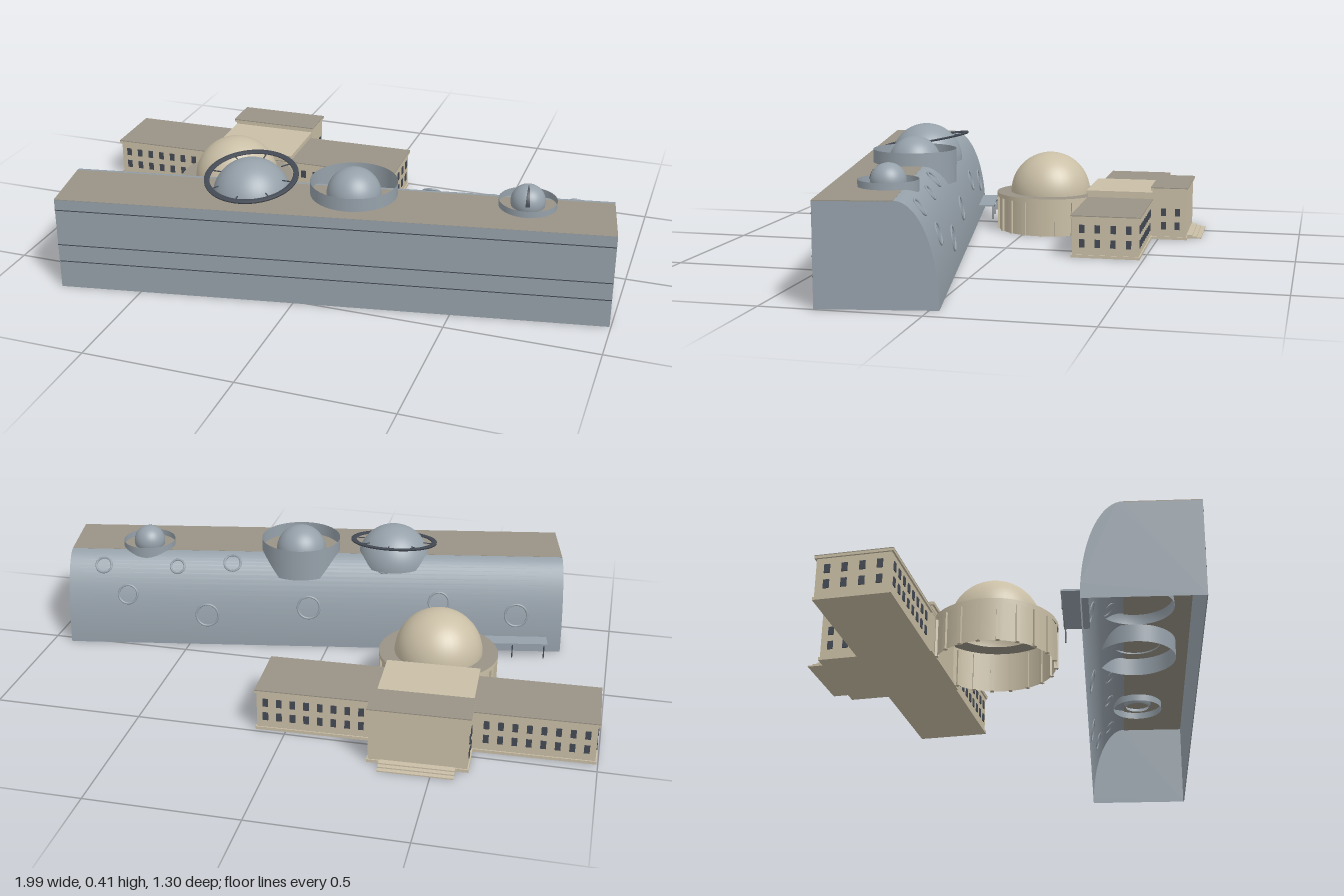
import * as THREE from 'three';

const mat = (name, color, side = THREE.DoubleSide) => {
  const m = new THREE.MeshStandardMaterial({ color, side });
  m.name = name;
  return m;
};

export function createModel() {
  const steel = mat('blueGrey', 0x96a1aa);
  const roofing = mat('taupeRoof', 0x999386);
  const stone = mat('beigeStone', 0xcabfa6);
  const dark = mat('darkGlass', 0x444a54);

  const model = new THREE.Group();
  model.name = 'observatoryComplex';

  const add = (parent, name, geo, material, x = 0, y = 0, z = 0) => {
    const m = new THREE.Mesh(geo, material);
    m.name = name;
    m.position.set(x, y, z);
    parent.add(m);
    return m;
  };
  const box = (parent, name, material, w, h, d, x, y, z) =>
    add(parent, name, new THREE.BoxGeometry(w, h, d), material, x, y, z);
  // Spherical cap of radius r, cut off below height yMin
  const cap = (parent, name, material, r, x, cy, z, yMin) =>
    add(parent, name, new THREE.SphereGeometry(r, 40, 20, 0, Math.PI * 2, 0,
      Math.acos(Math.max(-1, (yMin - cy) / r))), material, x, cy, z);
  const wall = (parent, name, material, r, y0, y1, x, z, sides = 48) =>
    add(parent, name, new THREE.CylinderGeometry(r, r, y1 - y0, sides, 1, true), material, x, (y0 + y1) / 2, z);

  // ---- Long hall: flat front, curved back, open underneath ----
  const L = 1.79, H = 0.318, D = 0.365, curveZ = -0.0525, curveD = 0.13;
  const hall = new THREE.Group();
  hall.name = 'longHall';
  hall.position.set(0.0825, 0, 0.31);
  hall.rotation.y = 0.18;
  model.add(hall);

  const backPoint = (a) => [curveZ - curveD * Math.sin(a), H * Math.cos(a)];
  box(hall, 'frontWall', steel, L, H, 0.003, 0, H / 2, D / 2 - 0.0015);

  const back = new THREE.PlaneGeometry(L, 1, 1, 20);
  const p = back.attributes.position;
  for (let i = 0; i < p.count; i++) {
    const [z, y] = backPoint((p.getY(i) + 0.5) * Math.PI / 2);
    p.setXYZ(i, p.getX(i), y, z);
  }
  back.computeVertexNormals();
  add(hall, 'curvedBackWall', back, steel);

  const roofDepth = D / 2 - curveZ;
  box(hall, 'hallRoof', roofing, L, 0.003, roofDepth, 0, H - 0.001, curveZ + roofDepth / 2);

  // End walls with the curved outline
  const outline = [[D / 2, 0], [D / 2, H]];
  for (let i = 0; i <= 20; i++) outline.push(backPoint(i / 20 * Math.PI / 2));
  const endShape = new THREE.Shape(outline.map(([z, y]) => new THREE.Vector2(z, y)));
  for (const s of [-1, 1]) {
    const end = add(hall, 'endWall', new THREE.ShapeGeometry(endShape), steel, s * L / 2);
    end.rotation.y = -Math.PI / 2;
    if (s > 0) end.geometry.scale(1, 1, -1);
  }
  // Fine joint lines on the front
  for (const y of [0.095, 0.155, 0.28])
    box(hall, 'frontJoint', dark, L, 0.003, 0.002, 0, y, D / 2);

  // Craters on the curved wall: position along, height fraction, radius
  for (const [x, h, r] of [[0.77, 0.88, 0.028], [0.68, 0.58, 0.034], [0.5, 0.88, 0.025], [0.39, 0.36, 0.04],
    [0.3, 0.92, 0.03], [0.02, 0.47, 0.04], [-0.25, 0.92, 0.028], [-0.45, 0.56, 0.036], [-0.73, 0.43, 0.04]]) {
    const a = Math.acos(h);
    const [z, y] = backPoint(a);
    const n = new THREE.Vector3(0, Math.cos(a) / H, -Math.sin(a) / curveD).normalize();
    const crater = add(hall, 'crater', new THREE.TorusGeometry(r, 0.004, 6, 28), steel, x, y, z);
    crater.quaternion.setFromUnitVectors(new THREE.Vector3(0, 0, 1), n);
  }

  // Entrance canopy at the back
  box(hall, 'canopy', steel, 0.25, 0.006, 0.08, -0.717, 0.055, -0.2);
  for (const x of [-0.83, -0.717, -0.605])
    box(hall, 'canopyPost', dark, 0.004, 0.054, 0.004, x, 0.027, -0.235);

  // ---- Roof domes ----
  cap(model, 'ringedDome', steel, 0.13, -0.2, 0.283, 0.35, 0.28);
  const ring = new THREE.Group();
  ring.name = 'planetRing';
  ring.position.set(-0.2, 0.355, 0.35);
  ring.rotation.x = 0.17;
  model.add(ring);
  const ringProfile = [[0.138, -0.003], [0.156, -0.003], [0.156, 0.003], [0.138, 0.003], [0.138, -0.003]];
  add(ring, 'ringBand', new THREE.LatheGeometry(ringProfile.map(([x, y]) => new THREE.Vector2(x, y)), 64), dark);
  for (let i = 0; i < 8; i++) {
    const a = i * Math.PI / 4;
    const spoke = box(ring, 'ringSpoke', dark, 0.035, 0.003, 0.003, Math.cos(a) * 0.125, 0, Math.sin(a) * 0.125);
    spoke.rotation.y = -a;
  }

  cap(model, 'middleDome', steel, 0.09, 0.135, 0.315, 0.29, 0.31);
  wall(model, 'middleDomeWall', steel, 0.143, 0.25, 0.363, 0.135, 0.29);
  cap(model, 'smallDome', steel, 0.056, 0.69, 0.334, 0.2, 0.3);
  wall(model, 'smallDomeWall', steel, 0.094, 0.29, 0.34, 0.69, 0.2);
  // Dark shutter slit facing forward
  const slit = add(model, 'domeSlit', new THREE.SphereGeometry(0.0575, 4, 14, Math.PI / 2 - 0.12, 0.24, 0.1, 1.4),
    dark, 0.69, 0.334, 0.2);
  slit.rotation.y = 0.18;

  // ---- Rotunda with its dome ----
  const rx = -0.435, rz = -0.07;
  wall(model, 'rotundaWall', stone, 0.195, 0, 0.135, rx, rz, 32);
  wall(model, 'rotundaCornice', stone, 0.203, 0.125, 0.14, rx, rz);
  const annulus = add(model, 'rotundaRoof', new THREE.RingGeometry(0.148, 0.203, 48), roofing, rx, 0.14, rz);
  annulus.rotation.x = -Math.PI / 2;
  cap(model, 'rotundaDome', stone, 0.15, rx, 0.14, rz, 0.14);
  for (let i = 0; i < 20; i++) {
    const a = i / 20 * Math.PI * 2;
    const pier = box(model, 'rotundaPier', stone, 0.012, 0.126, 0.014,
      rx + Math.sin(a) * 0.195, 0.063, rz + Math.cos(a) * 0.195);
    pier.rotation.y = a;
  }

  // ---- Stone building ----
  const house = new THREE.Group();
  house.name = 'stoneBuilding';
  house.position.set(-0.445, 0, -0.355);
  house.rotation.y = 0.027;
  model.add(house);
  // Block with plinth, cornice and flat roof
  const block = (name, w, d, h, z, roofMat) => {
    box(house, name + 'Walls', stone, w - 0.012, h - 0.008, d - 0.012, 0, (h - 0.008) / 2, z);
    box(house, name + 'Plinth', stone, w - 0.004, 0.01, d - 0.004, 0, 0.005, z);
    box(house, name + 'Cornice', stone, w, 0.008, d, 0, h - 0.006, z);
    box(house, name + 'Roof', roofMat, w, 0.003, d, 0, h - 0.0005, z);
  };
  block('wings', 1.1, 0.24, 0.145, 0, roofing);
  block('centre', 0.31, 0.25, 0.17, 0, stone);
  block('rearHall', 0.325, 0.135, 0.19, -0.18, roofing);

  // Two rows of windows
  for (const y of [0.05, 0.1]) {
    for (const s of [-1, 1]) {
      for (let i = 0; i < 8; i++) {
        const x = s * (0.2 + i * 0.045);
        for (const z of [-0.115, 0.115])
          box(house, 'window', dark, 0.018, 0.028, 0.004, x, y, z);
      }
      for (const z of [-0.08, -0.027, 0.027, 0.08])
        box(house, 'endWindow', dark, 0.004, 0.028, 0.018, s * 0.545, y, z);
      for (const z of [-0.21, -0.16])
        box(house, 'rearSideWindow', dark, 0.004, 0.028, 0.018, s * 0.1575, y, z);
    }
  }
  // Entrance steps
  for (let i = 0; i < 3; i++)
    box(house, 'step', stone, 0.24, 0.004, 0.055 - i * 0.016, 0, 0.002 + i * 0.004, -0.24 - (0.055 - i * 0.016) / 2);

  return model;
}
